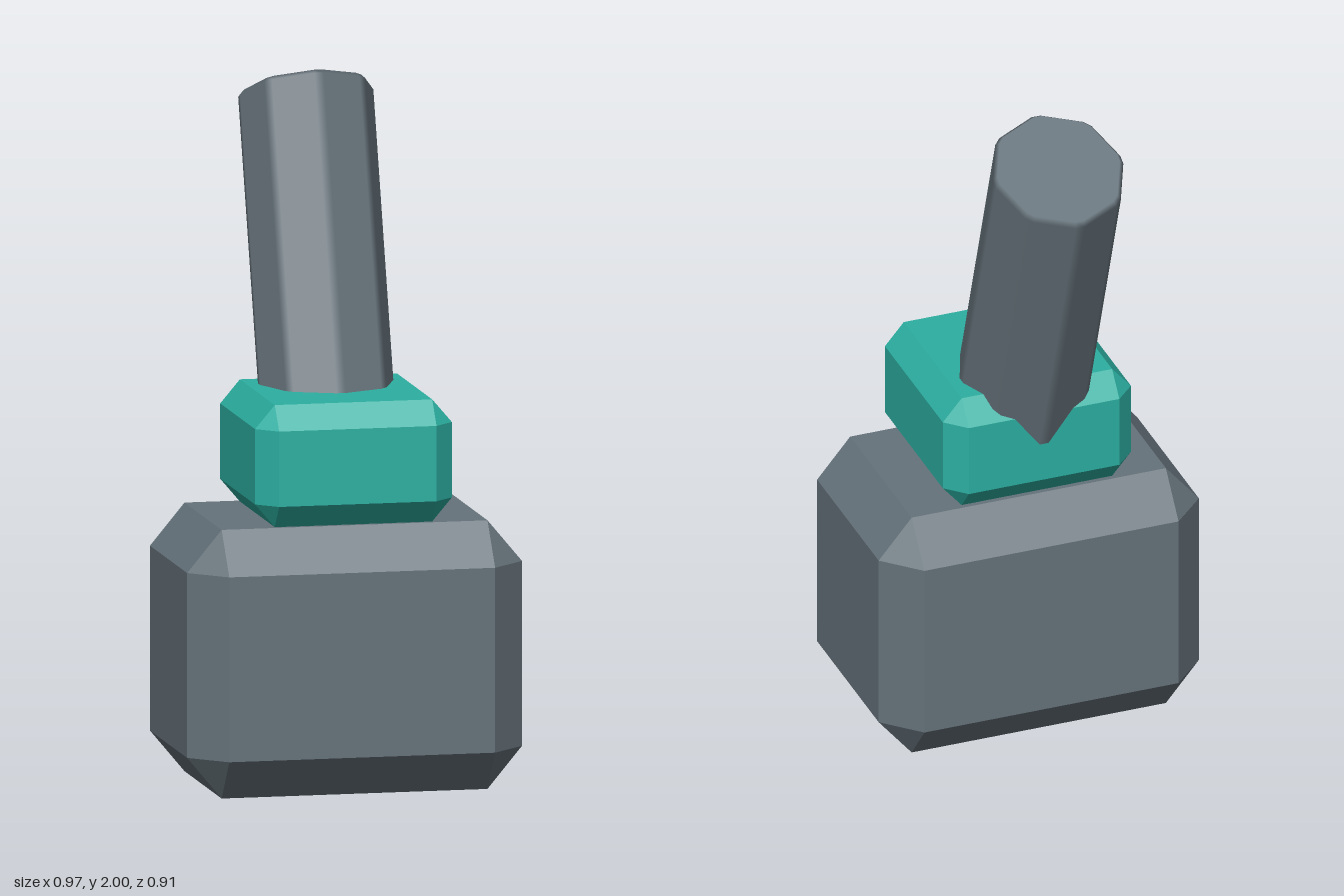
import * as THREE from 'three';
import { ConvexGeometry } from 'three/addons/geometries/ConvexGeometry.js';

const slate = new THREE.MeshStandardMaterial({ color: 0x66737b });
const teal = new THREE.MeshStandardMaterial({ color: 0x2cb0a2 });

// Box from min to max with every edge chamfered, c = inset per axis
function chamferedBox(name, min, max, c, material) {
  const points = [];
  for (let corner = 0; corner < 8; corner++) {
    for (let face = 0; face < 3; face++) {
      const p = [0, 1, 2].map((a) => {
        const high = (corner >> a) & 1;
        const inset = a === face ? 0 : c[a];
        return high ? max[a] - inset : min[a] + inset;
      });
      points.push(new THREE.Vector3(...p));
    }
  }
  const mesh = new THREE.Mesh(new ConvexGeometry(points), material);
  mesh.name = name;
  return mesh;
}

// Eight-sided bar with softened edges; local y = 0 is its top end
function octagonBar(radius, length, bevel) {
  const profile = [
    [0, -length], [radius, -length], [radius, -length], [radius, -bevel], [radius - bevel, 0], [0, 0],
  ].map(([x, y]) => new THREE.Vector2(x, y));
  const geometry = new THREE.LatheGeometry(profile, 16);
  const { position, normal } = geometry.attributes;
  const soft = THREE.MathUtils.degToRad(4);
  for (let i = 0; i <= 16; i++) {
    // each octagon corner becomes a narrow pair of vertices
    const angle = Math.floor((i + 1) / 2) * Math.PI / 4 + (i % 2 ? -soft : soft);
    const facing = (Math.floor(i / 2) + 0.5) * Math.PI / 4;
    profile.forEach((p, j) => {
      const v = i * profile.length + j;
      position.setXYZ(v, p.x * Math.sin(angle), p.y, p.x * Math.cos(angle));
      if (j < 2) normal.setXYZ(v, 0, -1, 0);
      else if (j < 4) normal.setXYZ(v, Math.sin(facing), 0, Math.cos(facing));
      else normal.setXYZ(v, 0, 1, 0);
    });
  }
  return geometry;
}

export function createModel() {
  const group = new THREE.Group();

  // Heavy lower block and the collar standing on it
  group.add(chamferedBox('base', [-0.485, 0, -0.228], [0.485, 0.77, 0.457], [0.1, 0.12, 0.1], slate));
  group.add(chamferedBox('collar', [-0.285, 0.77, -0.17], [0.285, 1.12, 0.4], [0.057, 0.067, 0.057], teal));

  // Handle leaning backwards, its end cap tilted more than its axis
  const geometry = octagonBar(0.1935, 1.0, 0.012);
  geometry.applyMatrix4(new THREE.Matrix4().makeBasis(
    new THREE.Vector3(1, 0, 0),
    new THREE.Vector3(0, 1, -0.33),
    new THREE.Vector3(0, 0.45, 0.907),
  ).setPosition(0, 1.917, -0.284));
  const handle = new THREE.Mesh(geometry, slate);
  handle.name = 'handle';
  group.add(handle);

  return group;
}
